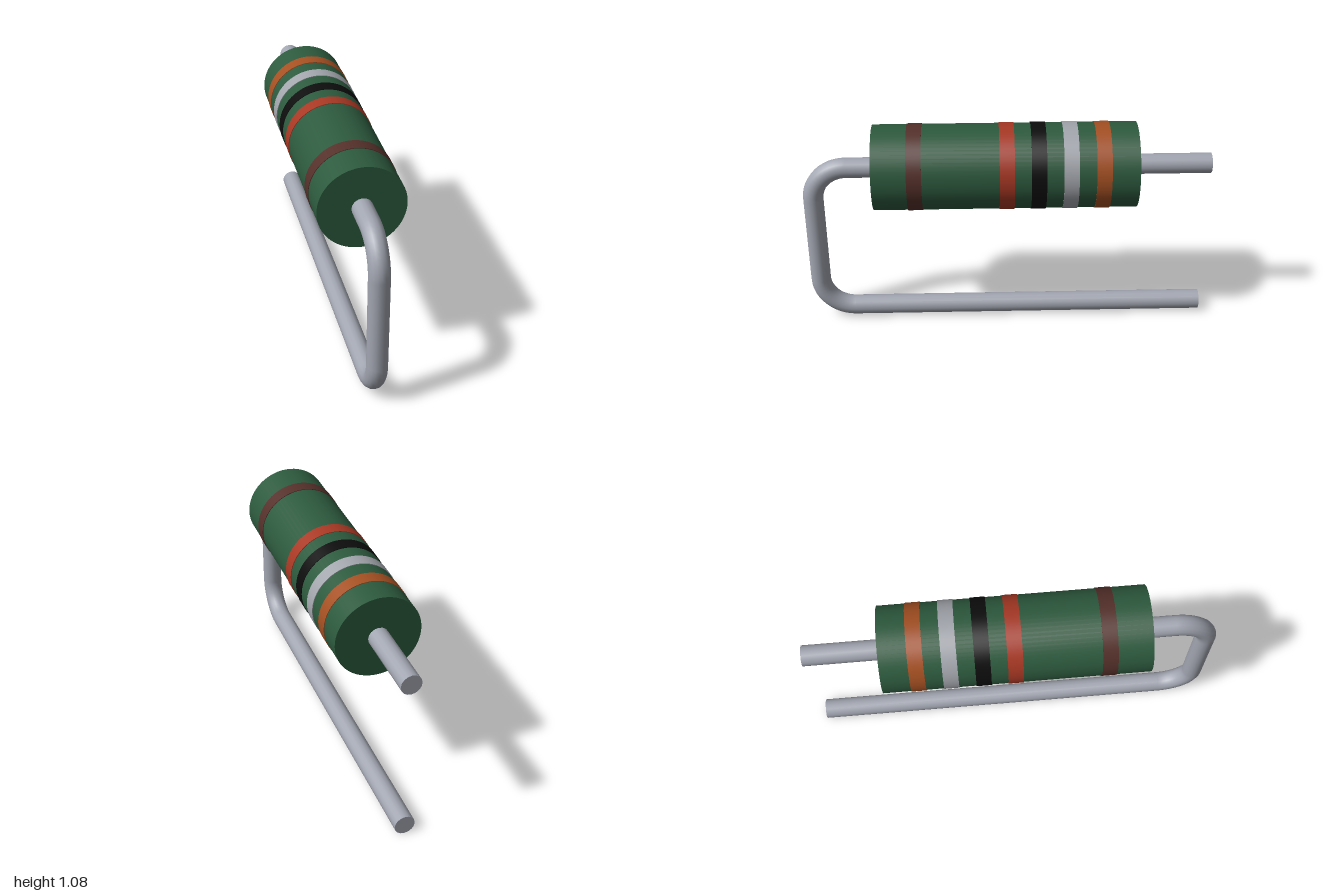
import * as THREE from 'three';

export function createModel() {
  const model = new THREE.Group();
  model.name = 'axialComponent';

  const paint = (name, color) => {
    const m = new THREE.MeshStandardMaterial({ color });
    m.name = name;
    return m;
  };
  const green = paint('green', 0x2d5a3e);
  const metal = paint('metal', 0xa2a6b1);
  const silver = paint('silver', 0xa3a6ad);
  const brown = paint('brown', 0x55302a);
  const red = paint('red', 0xa83824);
  const black = paint('black', 0x0d0d0d);
  const orange = paint('orange', 0xa55022);

  const add = (name, geometry, material, y, z) => {
    const mesh = new THREE.Mesh(geometry, material);
    mesh.name = name;
    mesh.position.set(0, y, z);
    model.add(mesh);
  };

  // Cylinder lying along z between z0 and z1
  const rod = (name, radius, y, z0, z1, material, sides) => {
    const g = new THREE.CylinderGeometry(radius, radius, z1 - z0, sides);
    add(name, g.rotateX(Math.PI / 2), material, y, (z0 + z1) / 2);
  };

  const axisY = 0.868, lowY = 0.053;   // heights of the two wire runs
  const wireR = 0.05, bendR = 0.17, bendZ = 0.78;

  // Body and its painted bands
  rod('body', 0.208, axisY, -0.63, 0.645, green, 64);
  const bands = [
    ['brownBand', 0.442, brown],
    ['redBand', 0, red],
    ['blackBand', -0.152, black],
    ['silverBand', -0.305, silver],
    ['orangeBand', -0.46, orange],
  ];
  for (const [name, z, material] of bands) {
    rod(name, 0.211, axisY, z - 0.036, z + 0.036, material, 64);
  }

  // Straight wire runs
  rod('backLead', wireR, axisY, -1, -0.62, metal, 16);
  rod('frontLead', wireR, axisY, 0.635, bendZ, metal, 16);
  rod('lowerLead', wireR, lowY, -1, bendZ, metal, 16);
  const top = axisY - bendR, bottom = lowY + bendR;
  add('uprightLead', new THREE.CylinderGeometry(wireR, wireR, top - bottom, 16),
    metal, (top + bottom) / 2, bendZ + bendR);

  // Quarter-circle bends joining the runs
  const bend = (turn) => new THREE.TorusGeometry(bendR, wireR, 16, 12, Math.PI / 2)
    .rotateZ(turn).rotateY(-Math.PI / 2);
  add('upperBend', bend(0), metal, top, bendZ);
  add('lowerBend', bend(-Math.PI / 2), metal, bottom, bendZ);

  return model;
}
